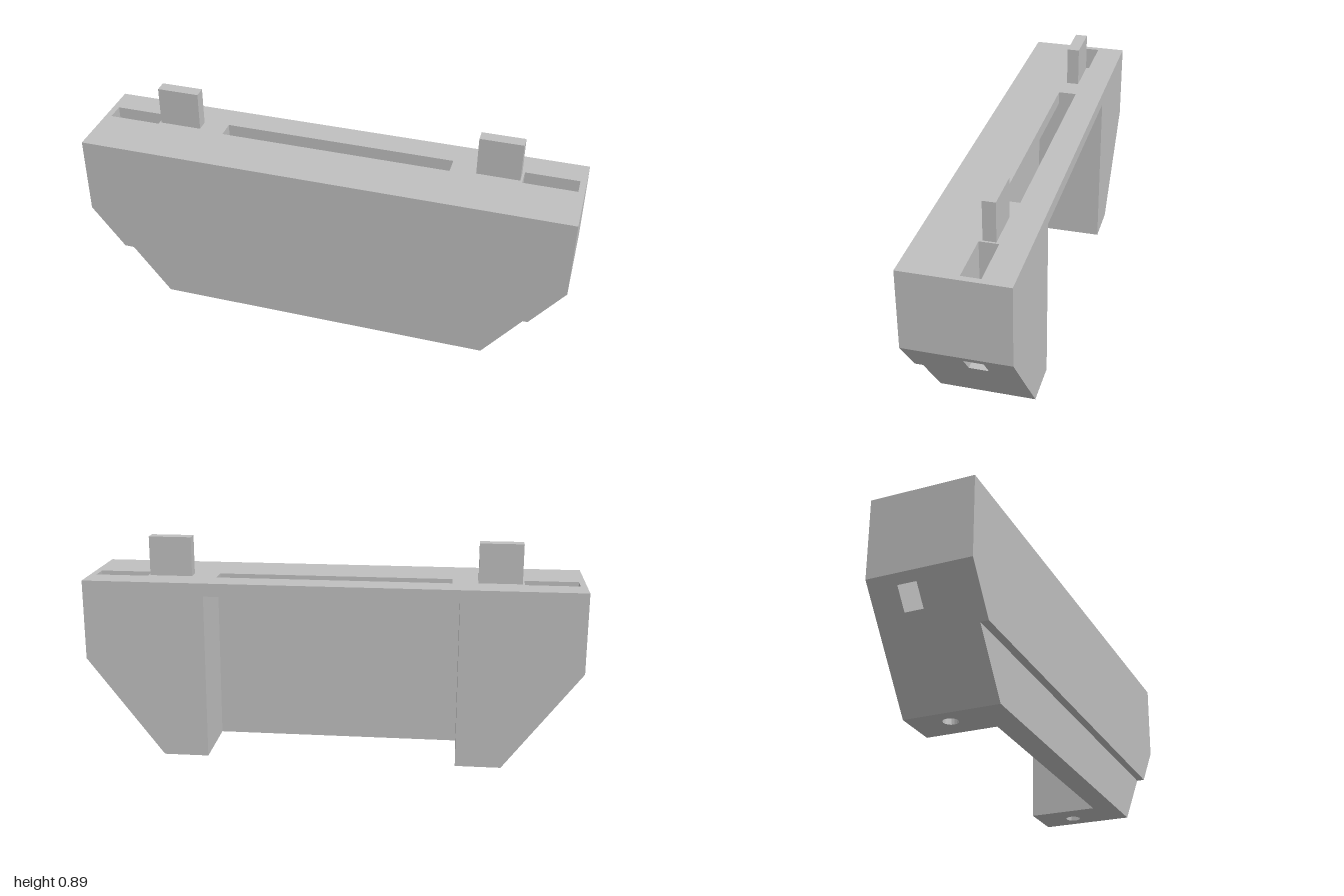
import * as THREE from 'three';

export function createModel() {
  const model = new THREE.Group();
  model.name = 'housing';
  const grey = new THREE.MeshStandardMaterial({ color: 0xbfbfbf });
  grey.name = 'plain grey';

  const add = (name, geometry) => {
    const mesh = new THREE.Mesh(geometry, grey);
    mesh.name = name;
    model.add(mesh);
    return mesh;
  };
  const polygon = (points) => new THREE.Shape(points.map(([x, y]) => new THREE.Vector2(x, y)));
  // Extrudes an x-y outline between two z positions
  const slab = (name, points, z0, z1) => {
    const g = new THREE.ExtrudeGeometry(polygon(points), { depth: z1 - z0, bevelEnabled: false });
    return add(name, g.translate(0, 0, z0));
  };
  // Completes a right-hand half outline with its mirror image
  const mirrored = (half) => [...half, ...half.map(([x, y]) => [-x, y]).reverse()];

  const top = 0.73, shoulder = 0.405, foot = 0.69;
  const back = -0.205, front = 0.205, lowerFront = 0.173, step = 0.23;
  const bayX = 0.507, bayTop = 0.677, bayZ = 0.078;
  const slotBack = -0.092, slotFront = -0.018;
  const slantX = (y) => 1 - (shoulder - y) * (1 - foot) / shoulder;

  // Front wall: protruding upper panel, then the full-height plate behind it
  slab('upperFrontPanel', mirrored([[1, top], [1, shoulder], [slantX(step), step]]), lowerFront, front);
  slab('frontWall', mirrored([[1, top], [1, shoulder], [foot, 0]]), bayZ, lowerFront);

  // Arch-shaped body around the open rear bay, in front of and behind the slots
  const arch = mirrored([[1, top], [1, shoulder], [foot, 0], [bayX, 0], [bayX, bayTop]]);
  slab('bodyFrontHalf', arch, slotFront, bayZ);
  slab('bodyRearHalf', arch, back, slotBack);

  // Middle layer, cut by the long top slot and the end pockets opening on the slant
  const slotX = 0.475, pocketIn = 0.76, pocketOut = 0.975, pocketFloor = 0.295, holeDepth = 0.28;
  for (const side of [1, -1]) {
    const flip = (points) => points.map(([x, y]) => [x * side, y]);
    slab('endWall', flip([[pocketOut, top], [1, top], [1, shoulder],
      [pocketOut, slantX(0) && shoulder - (1 - pocketOut) * shoulder / (1 - foot)]]), slotBack, slotFront);
    slab('legCore', flip([[slotX, top], [slotX, bayTop], [bayX, bayTop], [bayX, holeDepth], [foot, holeDepth],
      [foot, 0], [slantX(pocketFloor), pocketFloor], [pocketIn, pocketFloor], [pocketIn, top]]), slotBack, slotFront);

    // Foot block with a round hole from below
    const block = polygon(flip([[bayX, -slotBack], [foot, -slotBack], [foot, -slotFront], [bayX, -slotFront]]));
    block.holes.push(new THREE.Path().absarc(side * 0.613, 0.055, 0.03, 0, Math.PI * 2, true));
    const g = new THREE.ExtrudeGeometry(block, { depth: holeDepth, bevelEnabled: false, curveSegments: 8 });
    add('footBlock', g.rotateX(-Math.PI / 2));

    // Upright tab beside each end pocket
    add('topTab', new THREE.BoxGeometry(0.173, 0.17, 0.05)).position.set(side * 0.665, 0.805, -0.055);
  }
  return model;
}
